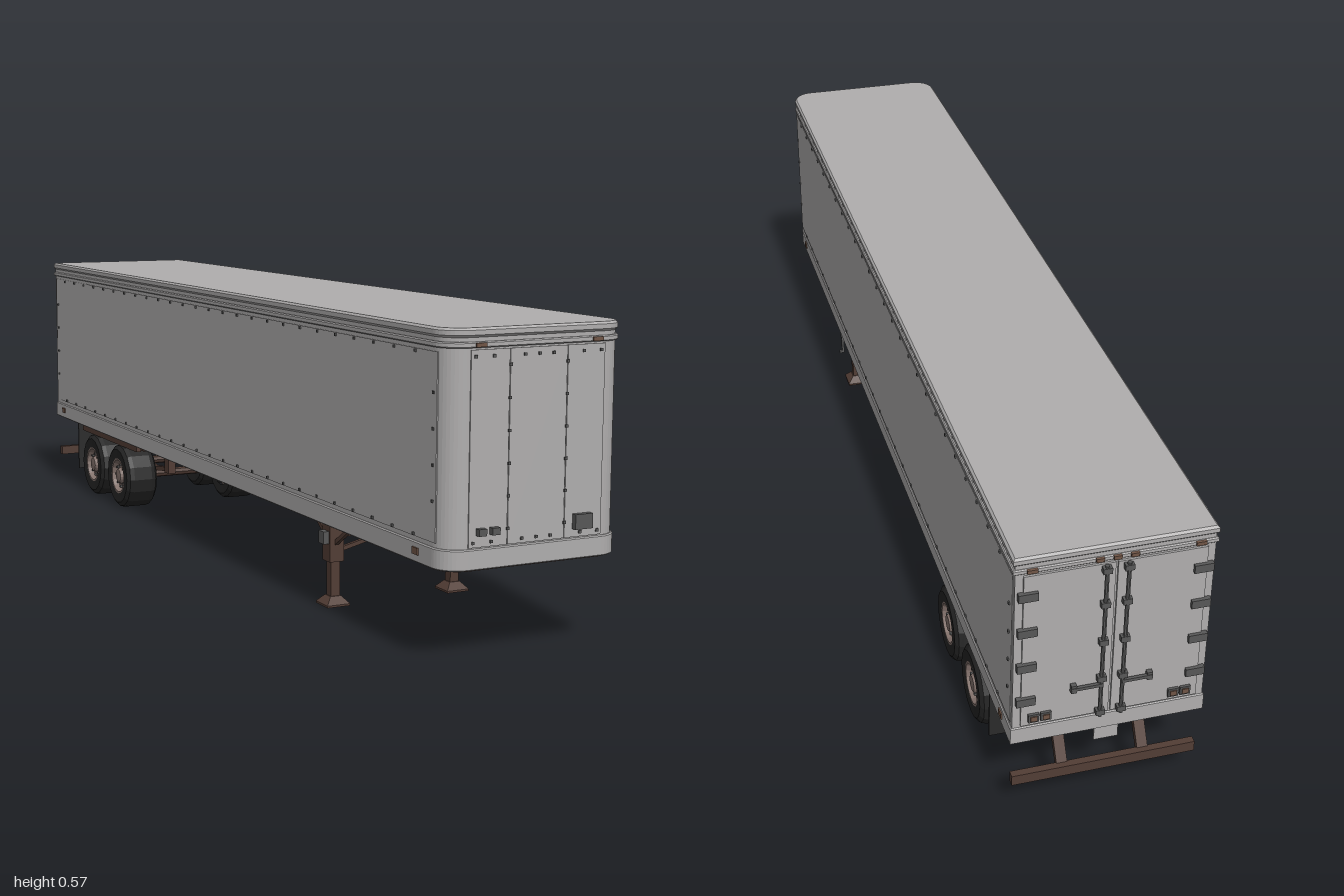
import * as THREE from 'three';
import { mergeGeometries } from 'three/addons/utils/BufferGeometryUtils.js';

const mat = (name, color) => {
  const m = new THREE.MeshStandardMaterial({ color });
  m.name = name;
  return m;
};

export function createModel() {
  const root = new THREE.Group();
  root.name = 'boxTrailer';
  const grey = mat('bodyGrey', 0xb0aeae);
  const brown = mat('chassisBrown', 0x523d35);
  const rubber = mat('tyreBlack', 0x242424);
  const hubMat = mat('hubBrownGrey', 0x82716b);
  const dark = mat('fittingGrey', 0x585858);
  const lampMat = mat('markerLamp', 0x705546);
  const flapMat = mat('flapBlack', 0x2b2b2b);

  const add = (name, geo, m, parent = root) => {
    const mesh = new THREE.Mesh(geo, m);
    mesh.name = name;
    parent.add(mesh);
    return mesh;
  };
  const box = (name, w, h, d, x, y, z, m, parent = root) =>
    add(name, new THREE.BoxGeometry(w, h, d).translate(x, y, z), m, parent);
  const flat = (geo) => {
    const g = geo.toNonIndexed();
    g.computeVertexNormals();
    return g;
  };
  // Straight bar between two points
  const bar = (name, a, b, w, d, m, parent = root) => {
    const p = new THREE.Vector3(...a), q = new THREE.Vector3(...b);
    const mesh = add(name, new THREE.BoxGeometry(w, p.distanceTo(q), d), m, parent);
    mesh.position.copy(p).lerp(q, 0.5);
    mesh.quaternion.setFromUnitVectors(new THREE.Vector3(0, 1, 0), q.sub(p).normalize());
    return mesh;
  };

  // Horizontal slab with rounded front corners and square back
  const slab = (name, y0, y1, hw, front, back, m, bevel = 0) => {
    const r = 0.042, w = hw - bevel, f = front - bevel, b = back + bevel;
    const s = new THREE.Shape();
    s.moveTo(-w, -b);
    s.lineTo(-w, -f + r);
    s.absarc(-w + r, -f + r, r, Math.PI, Math.PI * 1.5, false);
    s.lineTo(w - r, -f);
    s.absarc(w - r, -f + r, r, Math.PI * 1.5, Math.PI * 2, false);
    s.lineTo(w, -b);
    s.closePath();
    const g = new THREE.ExtrudeGeometry(s, {
      depth: y1 - y0 - 2 * bevel, curveSegments: 5, bevelEnabled: bevel > 0,
      bevelSize: bevel, bevelThickness: bevel, bevelSegments: 1,
    });
    g.rotateX(-Math.PI / 2).translate(0, y0 + bevel, 0);
    return add(name, g, m);
  };

  // Body shell from floor to roof
  slab('floor', 0.165, 0.169, 0.17, 0.983, -0.978, brown);
  slab('lowerRail', 0.167, 0.203, 0.176, 0.99, -0.985, grey, 0.002);
  slab('walls', 0.2, 0.556, 0.173, 0.986, -0.983, grey);
  slab('upperRail', 0.534, 0.544, 0.177, 0.99, -0.986, grey, 0.002);
  slab('roof', 0.551, 0.567, 0.177, 0.99, -0.986, grey, 0.004);

  // Side panels, front panels
  for (const s of [-1, 1]) box('sidePanel', 0.002, 0.316, 1.93, s * 0.1735, 0.369, -0.01, grey);
  for (const [x, w] of [[-0.094, 0.074], [0, 0.111], [0.094, 0.074]])
    box('frontPanel', w, 0.326, 0.004, x, 0.368, 0.986, grey);

  // Rivets on front and sides
  const rivets = [];
  const rivet = (x, y, z) => rivets.push(new THREE.BoxGeometry(0.005, 0.005, 0.005).translate(x, y, z));
  for (const y of [0.213, 0.52])
    for (const x of [-0.123, -0.088, -0.028, 0, 0.028, 0.088, 0.123]) rivet(x, y, 0.988);
  for (const x of [-0.056, 0.056])
    for (let i = 0; i < 6; i++) rivet(x, 0.232 + i * 0.0545, 0.988);
  for (const s of [-1, 1]) {
    for (let i = 0; i < 26; i++)
      for (const y of [0.215, 0.523]) rivet(s * 0.1745, y, 0.885 - i * 0.0715);
    for (const z of [0.945, -0.96])
      for (let i = 0; i < 4; i++) rivet(s * 0.1745, 0.28 + i * 0.06, z);
  }
  add('rivets', mergeGeometries(rivets), dark);

  // Front connection boxes and lamps
  box('controlBox', 0.035, 0.026, 0.012, 0.0905, 0.232, 0.992, dark);
  for (const x of [-0.109, -0.083]) box('socket', 0.015, 0.012, 0.012, x, 0.231, 0.992, dark);
  for (const s of [-1, 1]) {
    box('frontLamp', 0.02, 0.007, 0.006, s * 0.114, 0.539, 0.99, lampMat);
    for (const z of [0.895, -0.925]) box('sideLamp', 0.004, 0.012, 0.018, s * 0.1765, 0.187, z, lampMat);
  }

  // Rear doors with hinges, lock rods and lamps
  for (const s of [-1, 1]) {
    const door = new THREE.Group();
    door.name = 'rearDoor';
    root.add(door);
    box('doorPanel', 0.157, 0.322, 0.006, s * 0.0805, 0.369, -0.984, grey, door);
    add('lockRod', flat(new THREE.CylinderGeometry(0.004, 0.004, 0.325, 8))
      .translate(s * 0.019, 0.368, -0.993), dark, door);
    for (const y of [0.215, 0.29, 0.37, 0.45, 0.521])
      box('rodBracket', 0.016, 0.011, 0.011, s * 0.019, y, -0.992, dark, door);
    box('doorHandle', 0.055, 0.006, 0.006, s * 0.045, 0.277, -0.994, dark, door);
    box('handleCatch', 0.01, 0.016, 0.01, s * 0.068, 0.277, -0.991, dark, door);
    for (const y of [0.265, 0.34, 0.415, 0.49])
      box('hinge', 0.034, 0.016, 0.009, s * 0.152, y, -0.989, dark, door);
    for (const x of [0.115, 0.137]) {
      box('tailLampBase', 0.019, 0.017, 0.006, s * x, 0.225, -0.989, dark, door);
      box('tailLamp', 0.012, 0.01, 0.004, s * x, 0.225, -0.992, lampMat, door);
    }
    box('topLamp', 0.018, 0.007, 0.006, s * 0.145, 0.54, -0.987, lampMat);
  }
  for (const x of [-0.03, 0, 0.03]) box('topLamp', 0.014, 0.007, 0.006, x, 0.54, -0.987, lampMat);
  box('rearPlate', 0.044, 0.03, 0.004, 0, 0.151, -0.976, grey);

  // Wheels
  const lathe = (pts, n) => flat(new THREE.LatheGeometry(pts.map((p) => new THREE.Vector2(...p)), n));
  const tyreGeo = lathe([[0.043, -0.037], [0.065, -0.0385], [0.074, -0.032], [0.077, -0.022],
    [0.077, 0.022], [0.074, 0.032], [0.065, 0.0385], [0.043, 0.037], [0.043, 0.02]], 16);
  const hubGeo = lathe([[0.0001, -0.03], [0.044, -0.03], [0.044, 0.037], [0.039, 0.037], [0.034, 0.025],
    [0.02, 0.028], [0.016, 0.036], [0.0001, 0.037]], 16);
  const nutGeo = mergeGeometries([...Array(8)].map((_, i) => {
    const a = i * Math.PI / 4;
    return new THREE.BoxGeometry(0.005, 0.006, 0.005).translate(Math.cos(a) * 0.026, 0.029, Math.sin(a) * 0.026);
  }));
  const axleZ = [-0.54, -0.72];
  for (const z of axleZ) {
    for (const s of [-1, 1]) {
      const wheel = new THREE.Group();
      wheel.name = 'wheel';
      wheel.position.set(s * 0.1355, 0.077, z);
      wheel.rotation.z = -s * Math.PI / 2;
      root.add(wheel);
      add('tyre', tyreGeo, rubber, wheel);
      add('hub', hubGeo, hubMat, wheel);
      add('wheelNuts', nutGeo, dark, wheel);
    }
    add('axle', flat(new THREE.CylinderGeometry(0.01, 0.01, 0.22, 8)).rotateZ(Math.PI / 2).translate(0, 0.077, z), brown);
  }

  // Bogie frame, springs and mudflaps
  for (const s of [-1, 1]) {
    box('bogieRail', 0.02, 0.024, 0.38, s * 0.08, 0.156, -0.62, brown);
    box('outerRail', 0.012, 0.016, 0.38, s * 0.16, 0.159, -0.62, brown);
    for (const z of [-0.445, -0.63, -0.795]) box('springHanger', 0.018, 0.055, 0.026, s * 0.075, 0.12, z, brown);
    for (const z of axleZ) {
      bar('spring', [s * 0.075, 0.1, z + 0.085], [s * 0.075, 0.09, z], 0.014, 0.01, brown);
      bar('spring', [s * 0.075, 0.09, z], [s * 0.075, 0.1, z - 0.08], 0.014, 0.01, brown);
    }
    box('mudflap', 0.07, 0.117, 0.004, s * 0.135, 0.108, -0.832, flapMat);
    // Rear underrun guard
    bar('guardStrut', [s * 0.075, 0.168, -0.912], [s * 0.075, 0.07, -0.97], 0.02, 0.012, brown);
  }
  for (const z of [-0.445, -0.63, -0.795]) box('crossMember', 0.29, 0.016, 0.022, 0, 0.158, z, brown);
  box('rearGuard', 0.34, 0.021, 0.014, 0, 0.075, -0.972, brown);

  // Landing gear
  const gear = new THREE.Group();
  gear.name = 'landingGear';
  root.add(gear);
  const footGeo = flat(new THREE.CylinderGeometry(0.016, 0.034, 0.014, 4)).rotateY(Math.PI / 4);
  for (const s of [-1, 1]) {
    const x = s * 0.131;
    box('upperLeg', 0.03, 0.082, 0.03, x, 0.126, 0.51, brown, gear);
    box('lowerLeg', 0.019, 0.078, 0.019, x, 0.052, 0.51, brown, gear);
    add('foot', footGeo, brown, gear).position.set(x, 0.011, 0.51);
    box('footPlate', 0.048, 0.004, 0.048, x, 0.002, 0.51, brown, gear);
    box('mountPlate', 0.05, 0.006, 0.06, x, 0.163, 0.51, brown, gear);
    for (const dz of [-0.08, 0.08])
      bar('sideBrace', [x, 0.113, 0.51], [x, 0.166, 0.51 + dz], 0.008, 0.008, brown, gear);
    bar('crossBrace', [x, 0.1, 0.51 + s * 0.005], [-x, 0.164, 0.51 + s * 0.005], 0.008, 0.008, brown, gear);
  }
  box('crossShaft', 0.25, 0.007, 0.007, 0, 0.133, 0.51, brown, gear);
  // Gearbox and crank
  box('gearbox', 0.012, 0.024, 0.022, 0.151, 0.132, 0.51, dark, gear);
  box('gearbox', 0.012, 0.024, 0.022, -0.151, 0.132, 0.51, dark, gear);
  bar('crankArm', [0.163, 0.133, 0.51], [0.163, 0.09, 0.505], 0.005, 0.006, dark, gear);
  box('crankShaft', 0.016, 0.006, 0.006, 0.159, 0.133, 0.51, dark, gear);
  box('crankGrip', 0.012, 0.006, 0.006, 0.166, 0.09, 0.505, dark, gear);

  return root;
}
